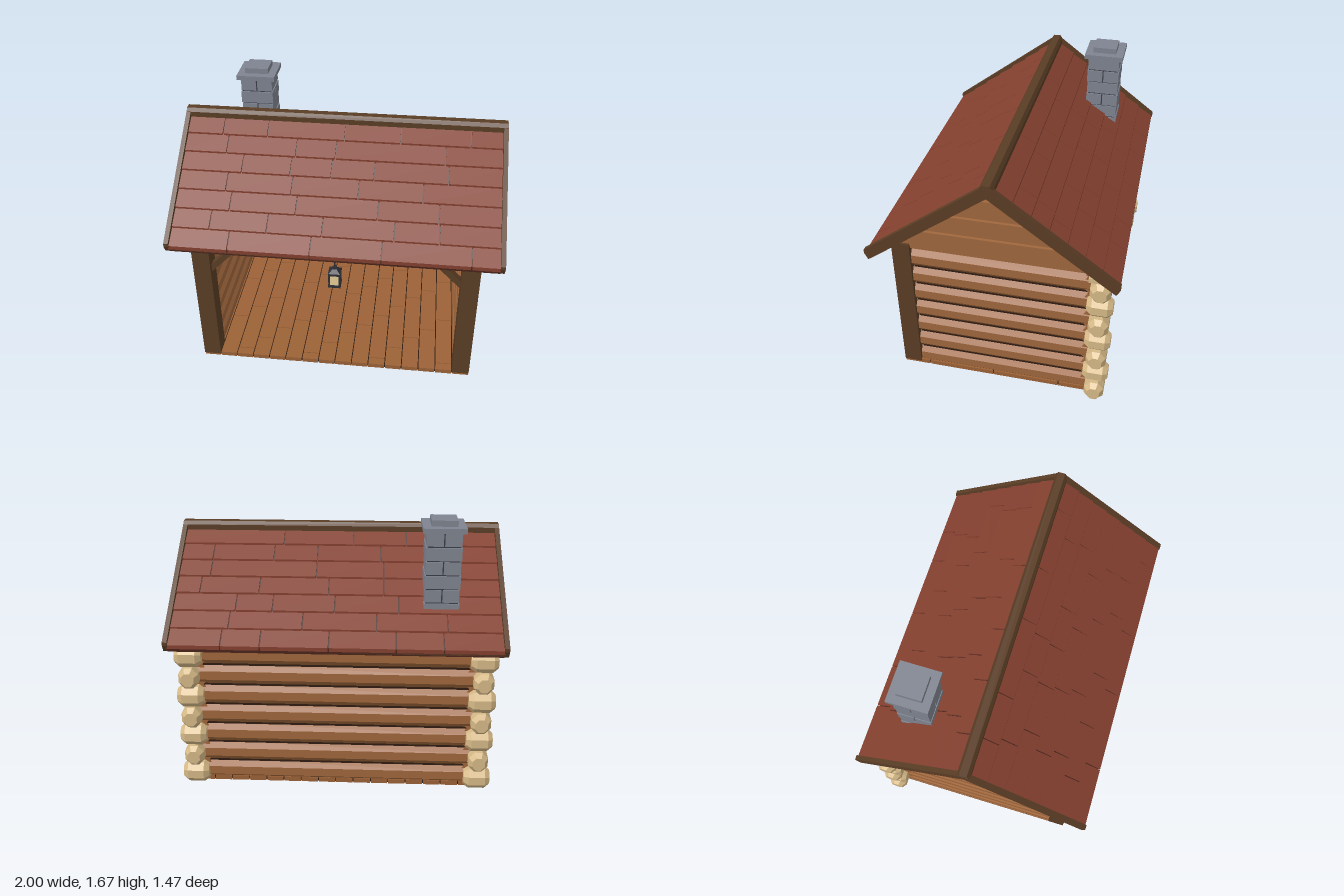
import * as THREE from 'three';

const mat = (color, extra = {}) => new THREE.MeshStandardMaterial({ color, flatShading: true, ...extra });
const WOOD = mat(0xa0673c), PLANK = mat(0x9c6237), DARK = mat(0x5a3d25), SEAM = mat(0x2f1c12);
const TAN = mat(0xd6b987), RED = mat(0x84402f), DECK = mat(0x4a241b), STONE = mat(0x7f8490);
const MORTAR = mat(0x3a3d45), IRON = mat(0x2e2f35), GLOW = mat(0xe8cf98);

const PITCH = 0.133, LOGS = 7, SLOPE = 0.745;
const logY = i => 0.07 + PITCH * i;

function add(parent, name, geo, material, x = 0, y = 0, z = 0) {
  const m = new THREE.Mesh(geo, material);
  m.name = name;
  m.position.set(x, y, z);
  parent.add(m);
  return m;
}
// box given by its limits
function box(parent, name, material, x0, x1, y0, y1, z0, z1) {
  return add(parent, name, new THREE.BoxGeometry(x1 - x0, y1 - y0, z1 - z0), material,
    (x0 + x1) / 2, (y0 + y1) / 2, (z0 + z1) / 2);
}
// (z, y) outline extruded along x, from x0 to x1
function slab(parent, name, material, pts, x0, x1) {
  const geo = new THREE.ExtrudeGeometry(new THREE.Shape(pts.map(p => new THREE.Vector2(...p))),
    { depth: x1 - x0, bevelEnabled: false });
  geo.rotateY(-Math.PI / 2);
  return add(parent, name, geo, material, x1);
}
function group(parent, name) {
  const g = new THREE.Group();
  g.name = name;
  parent.add(g);
  return g;
}

// eight-sided log lying along x
function logGeometry(length) {
  const r = 1 / Math.cos(Math.PI / 8);
  return new THREE.CylinderGeometry(r, r, length, 8).rotateY(Math.PI / 8)
    .rotateZ(Math.PI / 2).scale(1, 0.067, 0.05);
}
// bevelled log end lying along x
function logEndGeometry(half) {
  const pts = [[0, -half], [0.045, -half], [0.07, -half + 0.03], [0.07, half - 0.03], [0.045, half], [0, half]];
  return new THREE.LatheGeometry(pts.map(p => new THREE.Vector2(...p)), 8).rotateY(Math.PI / 8)
    .rotateZ(Math.PI / 2).scale(1, 1.03, 0.92);
}

function buildWall(parent, name, length) {
  const wall = group(parent, name);
  const geo = logGeometry(length);
  for (let i = 0; i < LOGS; i++) {
    add(wall, 'wallLog', geo, WOOD, 0, logY(i), 0);
    if (i) {
      const y = logY(i) - PITCH / 2;
      box(wall, 'chinking', SEAM, -length / 2 + 0.005, length / 2 - 0.005, y - 0.02, y + 0.02, -0.026, 0.026);
    }
  }
  return wall;
}

function buildFloor(parent) {
  const floor = group(parent, 'floor');
  box(floor, 'floorBase', SEAM, -0.875, 0.875, 0.005, 0.024, -0.612, 0.612);
  const w = 0.11, g = 0.003;
  for (let i = 0; i < 16; i++) {
    const x = -0.88 + w * i;
    const first = -0.62 + 0.12 + 0.11 * ((i * 3) % 4);
    const cuts = [-0.62, first, first + 0.42, 0.62];
    if (first + 0.84 < 0.56) cuts.splice(3, 0, first + 0.84);
    for (let k = 0; k + 1 < cuts.length; k++)
      box(floor, 'floorPlank', PLANK, x + g, x + w - g, 0, 0.03, cuts[k] + g, cuts[k + 1] - g);
  }
}

function buildWalls(parent) {
  const walls = group(parent, 'walls');
  buildWall(walls, 'backWall', 1.74).position.z = -0.57;
  box(walls, 'backPlate', WOOD, -0.87, 0.87, 0.93, 1.01, -0.61, -0.53);
  const alongX = logEndGeometry(0.08), alongZ = logEndGeometry(0.076).rotateY(Math.PI / 2);
  for (const s of [-1, 1]) {
    const side = buildWall(walls, s > 0 ? 'leftWall' : 'rightWall', 1.11);
    side.rotation.y = Math.PI / 2;
    side.position.set(s * 0.825, 0, -0.05);
    // crossed log ends at the back corner
    for (let i = 0; i < LOGS; i++)
      add(walls, 'logEnd', i % 2 ? alongZ : alongX, TAN, s * 0.88, logY(i), -0.62);
    box(walls, 'topLogEnd', TAN, s * 0.88 - 0.05, s * 0.88 + 0.05, 0.935, 0.965, -0.68, -0.55);
    // gable with three raised logs
    const a = s > 0 ? 0.81 : -0.865;
    slab(walls, 'gable', WOOD, [[-0.685, 0.943], [0.685, 0.943], [0, 1.452]], a, a + 0.055);
    for (const [half, y0, y1] of [[0.44, 1.0, 1.09], [0.263, 1.13, 1.22], [0.088, 1.265, 1.355]]) {
      const c = 0.012;
      slab(walls, 'gableLog', WOOD, [[-half, y0 + c], [-half + c, y0], [half - c, y0], [half, y0 + c],
        [half, y1 - c], [half - c, y1], [-half + c, y1], [-half, y1 - c]], s * 0.838 - 0.045, s * 0.838 + 0.045);
    }
  }
}

function buildFrontFrame(parent) {
  const frame = group(parent, 'frontFrame');
  box(frame, 'lintel', DARK, -0.88, 0.88, 0.862, 0.975, 0.512, 0.618);
  for (const s of [-1, 1]) {
    add(frame, 'post', new THREE.BoxGeometry(0.11, 0.955, 0.11), DARK, s * 0.825, 0.4925, 0.565);
    const brace = add(frame, 'brace', new THREE.BoxGeometry(0.25, 0.036, 0.05), DARK, s * 0.705, 0.79, 0.565);
    brace.rotation.z = -s * 0.8;
  }
}

// shingle joints for each course, ridge to eave
const FRONT = [[-0.75, -0.47, 0.01, 0.355, 0.78], [-0.71, -0.28, -0.035, 0.63], [-0.6, -0.3, -0.05, 0.21, 0.655],
  [-0.68, -0.28, 0.125, 0.51], [-0.64, -0.24, 0.25, 0.61], [-0.745, -0.4, -0.07, 0.355, 0.62], [-0.62, -0.13, 0.29, 0.81]];
const BACK = [[-0.75, -0.42, -0.09, 0.345], [-0.65, -0.26, 0.13, 0.4, 0.78], [-0.63, -0.28, 0.13, 0.78],
  [-0.63, -0.28, 0.05, 0.47, 0.83], [-0.37, 0.01, 0.38, 0.6], [-0.655, -0.24, 0.195, 0.63], [-0.63, -0.355, 0.035, 0.435, 0.665]];

function buildRoof(parent) {
  const roof = group(parent, 'roof');
  const at = (z, top) => [z, top - SLOPE * z];
  for (const back of [false, true]) {
    const half = group(roof, back ? 'backSlope' : 'frontSlope');
    if (back) half.rotation.y = Math.PI;
    slab(half, 'roofDeck', DECK, [at(0, 1.465), at(0.715, 1.465), at(0.715, 1.502), at(0, 1.502)], -0.975, 0.975);
    (back ? BACK : FRONT).forEach((joints, row) => {
      const z0 = 0.025 + row * 0.1, z1 = z0 + 0.104;
      const cuts = [-0.98, ...joints.map(j => back ? -j : j).sort((a, b) => a - b), 0.98];
      for (let k = 0; k + 1 < cuts.length; k++)
        slab(half, 'shingle', RED, [at(z0, 1.498), at(z1, 1.498), at(z1, 1.522), at(z0, 1.51)],
          cuts[k] + 0.004, cuts[k + 1] - 0.004);
    });
    box(half, 'eaveBoard', DARK, -0.975, 0.975, 0.94, 0.972, 0.69, 0.715);
  }
  // barge boards closing both ends, and the ridge beam
  const edge = [[0.03, 1.523], [0.735, 0.997], [0.735, 0.975], [0.715, 0.935], [0.705, 0.937]];
  const outline = [...edge, [0, 1.462], ...edge.map(([z, y]) => [-z, y]).reverse()];
  for (const x of [-1, 0.972]) slab(roof, 'bargeBoard', DARK, outline, x, x + 0.028);
  slab(roof, 'ridgeBeam', DARK, [[-0.038, 1.485], [0.038, 1.485], [0.038, 1.518], [0.022, 1.54],
    [-0.022, 1.54], [-0.038, 1.518]], -0.998, 0.998);
}

function buildChimney(parent) {
  const ch = group(parent, 'chimney');
  ch.position.set(-0.62, 0, -0.4);
  box(ch, 'chimneyCore', MORTAR, -0.096, 0.096, 1.08, 1.605, -0.096, 0.096);
  const h = 0.085, R = 0.105, g = 0.004;
  for (let row = 0; row < 6; row++) {
    const y1 = 1.605 - row * h - g, y0 = y1 - h + 2 * g;
    const r = row % 2 ? R : R - 0.003;
    // each course is split one way, the next the other way
    for (const s of [-1, 1]) {
      const a = s > 0 ? g : -r, b = s > 0 ? r : -g;
      if (row % 2) {
        box(ch, 'stone', STONE, -r, r, y0, y1, a, b);
      } else {
        box(ch, 'stone', STONE, a, b, y0, y1, -r, r);
      }
    }
  }
  box(ch, 'chimneyCap', STONE, -0.125, 0.125, 1.605, 1.635, -0.125, 0.125);
  box(ch, 'chimneyTop', STONE, -0.076, 0.076, 1.635, 1.67, -0.076, 0.076);
}

function buildLantern(parent) {
  const l = group(parent, 'lantern');
  l.position.z = 0.565;
  box(l, 'lanternGlass', GLOW, -0.03, 0.03, 0.655, 0.74, -0.03, 0.03);
  box(l, 'lanternBase', IRON, -0.039, 0.039, 0.645, 0.659, -0.039, 0.039);
  box(l, 'lanternRim', IRON, -0.039, 0.039, 0.735, 0.748, -0.039, 0.039);
  for (const x of [-1, 1]) for (const z of [-1, 1])
    add(l, 'lanternBar', new THREE.BoxGeometry(0.01, 0.09, 0.01), IRON, x * 0.032, 0.697, z * 0.032);
  add(l, 'lanternRoof', new THREE.CylinderGeometry(0.02, 0.05, 0.022, 4).rotateY(Math.PI / 4), IRON, 0, 0.759, 0);
  add(l, 'lanternRod', new THREE.CylinderGeometry(0.005, 0.005, 0.1, 6), IRON, 0, 0.815, 0);
  add(l, 'lanternRing', new THREE.TorusGeometry(0.012, 0.003, 5, 10), IRON, 0, 0.78, 0);
}

export function createModel() {
  const model = new THREE.Group();
  model.name = 'logCabin';
  buildFloor(model);
  buildWalls(model);
  buildFrontFrame(model);
  buildRoof(model);
  buildChimney(model);
  buildLantern(model);
  return model;
}
